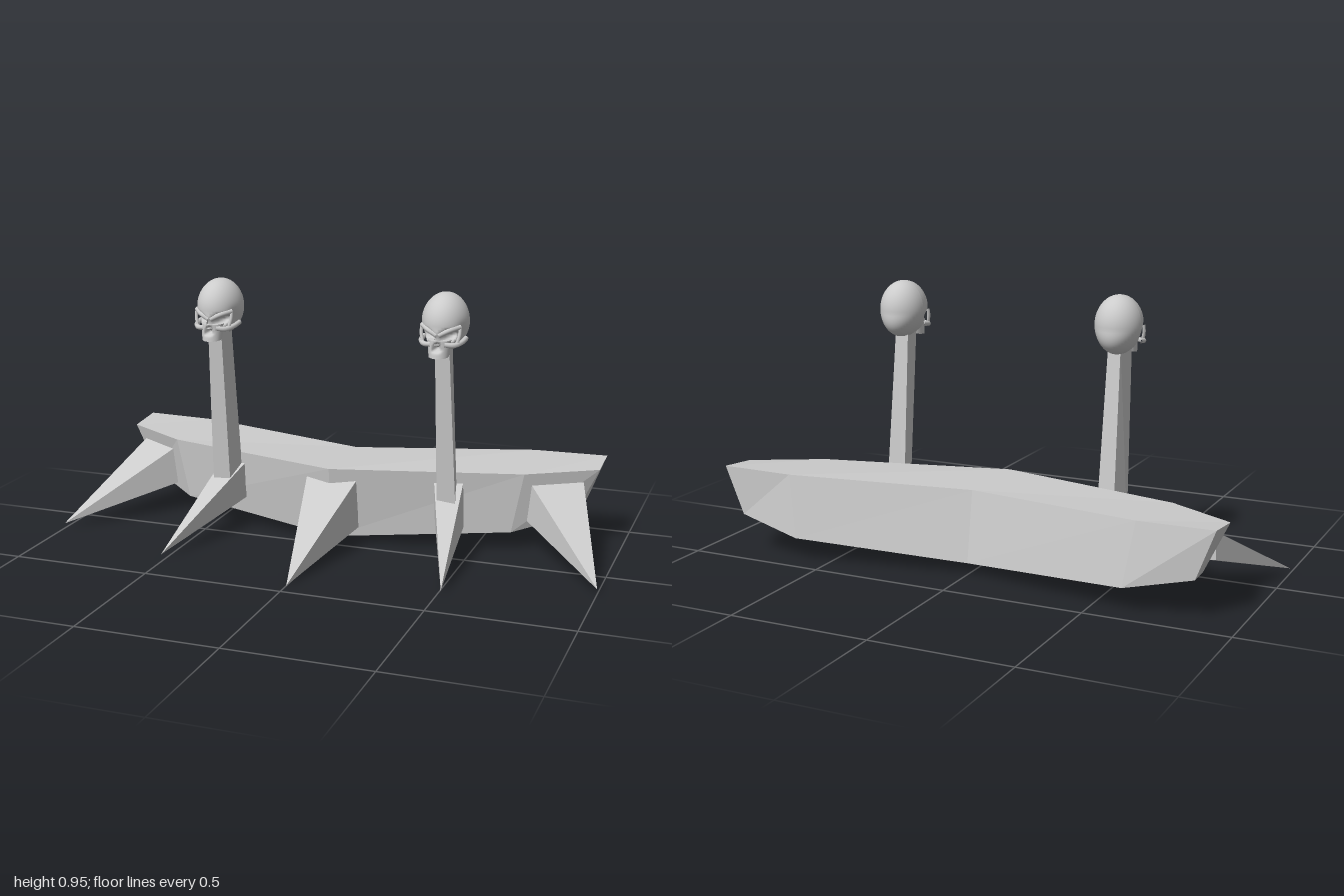
import * as THREE from 'three';

const flat = new THREE.MeshStandardMaterial({ color: 0xcccccc, flatShading: true });
const smooth = new THREE.MeshStandardMaterial({ color: 0xcccccc });

function add(parent, name, geometry, material) {
  const mesh = new THREE.Mesh(geometry, material);
  mesh.name = name;
  parent.add(mesh);
  return mesh;
}

// Joins four-cornered sections into a closed solid (corners run clockwise seen from the far end).
function loft(sections) {
  const out = [];
  const tri = (a, b, c) => {
    const area = new THREE.Triangle(...[a, b, c].map(p => new THREE.Vector3(...p))).getArea();
    if (area > 1e-7) out.push(...a, ...b, ...c);
  };
  const quad = (a, b, c, d) => { tri(a, b, c); tri(a, c, d); };
  for (let s = 0; s < sections.length - 1; s++) {
    const p = sections[s], q = sections[s + 1];
    for (let i = 0; i < 4; i++) {
      const j = (i + 1) % 4;
      quad(p[i], q[i], q[j], p[j]);
    }
  }
  quad(...sections[0]);
  quad(...[...sections.at(-1)].reverse());
  const g = new THREE.BufferGeometry();
  g.setAttribute('position', new THREE.Float32BufferAttribute(out, 3));
  g.computeVertexNormals();
  return g;
}

// Flips a section to the other side of x = 0, keeping its faces outward.
const mirror = (ring, side) => side > 0 ? ring : ring.map(([x, y, z]) => [-x, y, z]).reverse();

const spike = (base, tip, side = 1) =>
  loft([mirror(base, side), mirror([tip, tip, tip, tip], side)]);

// Moves every vertex of a geometry by a rule.
function reshape(g, rule) {
  const p = g.attributes.position, v = new THREE.Vector3();
  for (let i = 0; i < p.count; i++) {
    rule(v.fromBufferAttribute(p, i));
    p.setXYZ(i, v.x, v.y, v.z);
  }
  g.computeVertexNormals();
  return g;
}

function makeSkull() {
  const skull = new THREE.Group();

  // Cranium: narrow jawward, flat underneath, slanted eye sockets pressed in
  add(skull, 'cranium', reshape(new THREE.SphereGeometry(1, 48, 40), v => {
    const front = v.z > 0;
    v.set(v.x * 0.081, v.y * 0.102, v.z * (front ? 0.106 : 0.094));
    if (v.y < -0.01) {
      const t = Math.min(1, (-0.01 - v.y) / 0.09);
      v.x *= 1 - 0.1 * t;
      v.z *= 1 + 0.25 * t;
    }
    v.y = Math.max(v.y, front ? -0.085 + v.z * 0.15 : -0.097);
    if (front) {
      const dx = Math.abs(v.x) - 0.036, dy = v.y + 0.034;
      const a = (dx * 0.92 + dy * 0.39) / 0.026, b = (dy * 0.92 - dx * 0.39) / 0.017;
      v.z -= 0.045 * Math.exp(-((a * a + b * b) ** 2));
      // temple hollow
      const ty = (v.y + 0.03) / 0.03, tz = (v.z - 0.045) / 0.025;
      v.x *= 1 - 0.12 * Math.exp(-ty * ty - tz * tz);
    }
  }), smooth);

  // Upper jaw with the nose opening
  add(skull, 'upperJaw', reshape(new THREE.CylinderGeometry(0.04, 0.035, 0.058, 32, 12), v => {
    const t = (0.029 - v.y) / 0.058;
    v.z = v.z * 1.0 + 0.072 + 0.01 * t;
    v.y -= 0.077 - (0.1 - v.z) * 0.12 * t;
    if (v.z > 0.08) {
      const w = 0.007 + 0.006 * Math.max(0, (-0.056 - v.y) / 0.025);
      const dy = (v.y + 0.07) / 0.014;
      v.z -= 0.028 * Math.exp(-((v.x / w) ** 4) - dy ** 4);
    }
  }), smooth);

  // Nose bridge
  add(skull, 'noseBridge', loft([
    [[-0.014, -0.061, 0.09], [-0.006, -0.06, 0.121], [0.006, -0.06, 0.121], [0.014, -0.061, 0.09]],
    [[-0.01, -0.02, 0.08], [-0.006, -0.02, 0.105], [0.006, -0.02, 0.105], [0.01, -0.02, 0.08]],
  ]), flat);

  for (const side of [1, -1]) {
    const tube = (name, pts, radius) => add(skull, name, new THREE.TubeGeometry(
      new THREE.CatmullRomCurve3(pts.map(([x, y, z]) => new THREE.Vector3(x * side, y, z))),
      14, radius, 8), smooth);
    // Frowning brow and cheekbone
    tube('browRidge', [[0.004, -0.03, 0.101], [0.035, -0.014, 0.095], [0.067, -0.004, 0.058]], 0.0085);
    tube('cheekbone', [[0.022, -0.061, 0.1], [0.052, -0.064, 0.084], [0.071, -0.058, 0.052],
      [0.074, -0.052, 0.008]], 0.009);
    tube('socketRim', [[0.067, -0.004, 0.06], [0.067, -0.03, 0.066], [0.06, -0.06, 0.073]], 0.006);
  }
  return skull;
}

export function createModel() {
  const model = new THREE.Group();
  model.name = 'spikedBumper';

  // Swept bar: front top, back top, back bottom, front bottom
  const end = [[0.917, 0.3, -0.28], [0.917, 0.313, -0.425], [0.85, 0.14, -0.42], [0.83, 0.12, -0.28]];
  const bend = [[0.675, 0.298, -0.14], [0.65, 0.31, -0.422], [0.615, 0.088, -0.447], [0.63, 0.074, -0.15]];
  const middle = [[0, 0.296, 0.025], [0, 0.296, -0.28], [0, 0.045, -0.32], [0, 0.03, -0.015]];
  const flip = ring => ring.map(([x, y, z]) => [-x, y, z]);
  add(model, 'bar', loft([flip(end), flip(bend), middle, bend, end]), flat);

  // Centre spike
  add(model, 'centreSpike', spike(
    [[-0.095, 0.255, -0.01], [0.095, 0.255, -0.01], [0.095, 0.07, -0.03], [-0.095, 0.07, -0.03]],
    [0, 0.004, 0.445]), flat);

  for (const side of [1, -1]) {
    const word = side > 0 ? 'left' : 'right';
    add(model, word + 'InnerSpike', spike(
      [[0.365, 0.255, -0.07], [0.465, 0.255, -0.095], [0.465, 0.09, -0.12], [0.365, 0.12, -0.085]],
      [0.513, 0.02, 0.35], side), flat);
    add(model, word + 'OuterSpike', spike(
      [[0.7, 0.255, -0.155], [0.865, 0.255, -0.257], [0.865, 0.16, -0.257], [0.685, 0.12, -0.16]],
      [1, 0.022, 0.17], side), flat);

    // Leaning post, slightly turned
    add(model, word + 'Post', loft([
      [[0.395, 0.15, -0.006], [0.378, 0.15, -0.085], [0.445, 0.15, -0.095], [0.463, 0.17, -0.006]],
      [[0.395, 0.79, 0.058], [0.388, 0.79, -0.018], [0.435, 0.79, -0.022], [0.445, 0.79, 0.058]],
    ].map(r => mirror(r, side))), flat);

    const skull = makeSkull();
    skull.name = word + 'Skull';
    skull.position.set(0.417 * side, 0.857, 0.004);
    model.add(skull);
  }
  return model;
}
